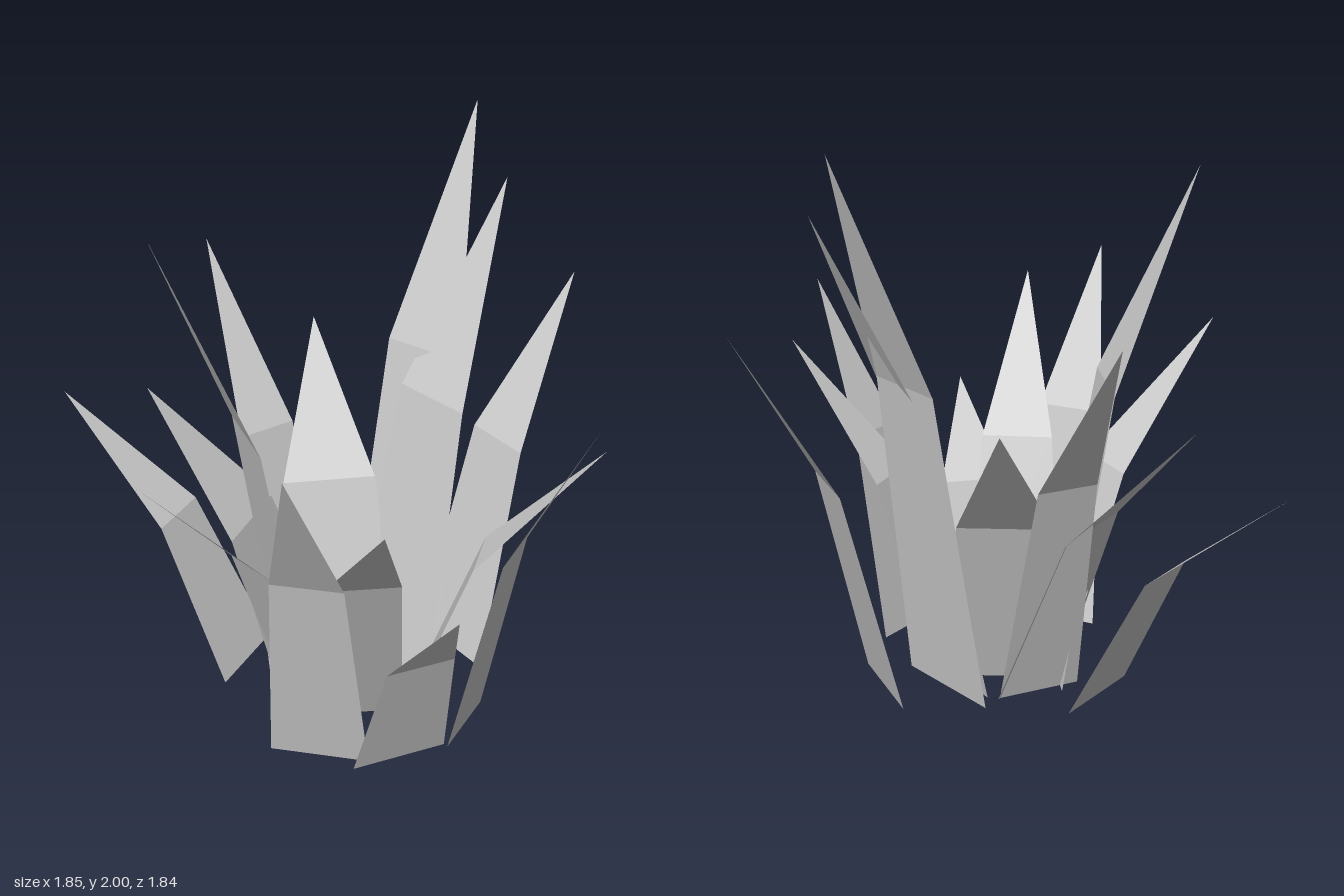
import * as THREE from 'three';

// Each blade: root centre x, z; tip x, z; height; root width
const BLADES = [
  [-0.215, -0.265, -0.52, -0.92, 0.94, 0.34],
  [-0.10, -0.02, -0.40, -0.56, 1.06, 0.48],
  [-0.05, -0.14, -0.01, -0.73, 1.46, 0.30],
  [0.00, 0.00, 0.29, -0.50, 1.15, 0.46],
  [0.225, 0.03, 0.67, -0.08, 2.00, 0.41],
  [0.145, 0.10, 0.67, 0.08, 1.77, 0.42],
  [0.42, 0.135, 0.93, 0.17, 1.38, 0.36],
  [0.08, 0.294, 0.46, 0.81, 1.10, 0.31],
  [0.135, 0.53, 0.31, 0.92, 1.28, 0.29],
  [-0.16, 0.525, -0.27, 0.92, 0.80, 0.34],
  [-0.13, 0.23, -0.55, 0.89, 1.20, 0.36],
  [-0.365, 0.346, -0.73, 0.64, 1.34, 0.34],
  [-0.206, 0.127, -0.92, 0.15, 1.17, 0.33],
  [-0.19, 0.02, -0.65, -0.14, 1.83, 0.44],
];

// Two-segment blade that bends outward at the middle and ends in a point
function bladeGeometry([x, z, tipX, tipZ, height, width]) {
  const lean = new THREE.Vector3(tipX - x, 0, tipZ - z);
  const side = new THREE.Vector3(-lean.z, 0, lean.x).normalize();
  const at = (out, up, w) =>
    new THREE.Vector3(x, up * height, z).addScaledVector(lean, out).addScaledVector(side, w * width / 2);
  const a = at(0, 0, -1), b = at(0, 0, 1);
  const c = at(0.37, 0.587, 0.72), d = at(0.37, 0.587, -0.72);
  const tip = at(1, 1, 0);
  const geometry = new THREE.BufferGeometry().setFromPoints([a, b, c, a, c, d, d, c, tip]);
  geometry.computeVertexNormals();
  return geometry;
}

export function createModel() {
  const group = new THREE.Group();
  group.name = 'grassTuft';
  const grey = new THREE.MeshStandardMaterial({ color: 0xcccccc, side: THREE.DoubleSide, flatShading: true });
  grey.name = 'bladeGrey';
  BLADES.forEach((blade, i) => {
    const mesh = new THREE.Mesh(bladeGeometry(blade), grey);
    mesh.name = `blade${i + 1}`;
    group.add(mesh);
  });
  return group;
}
